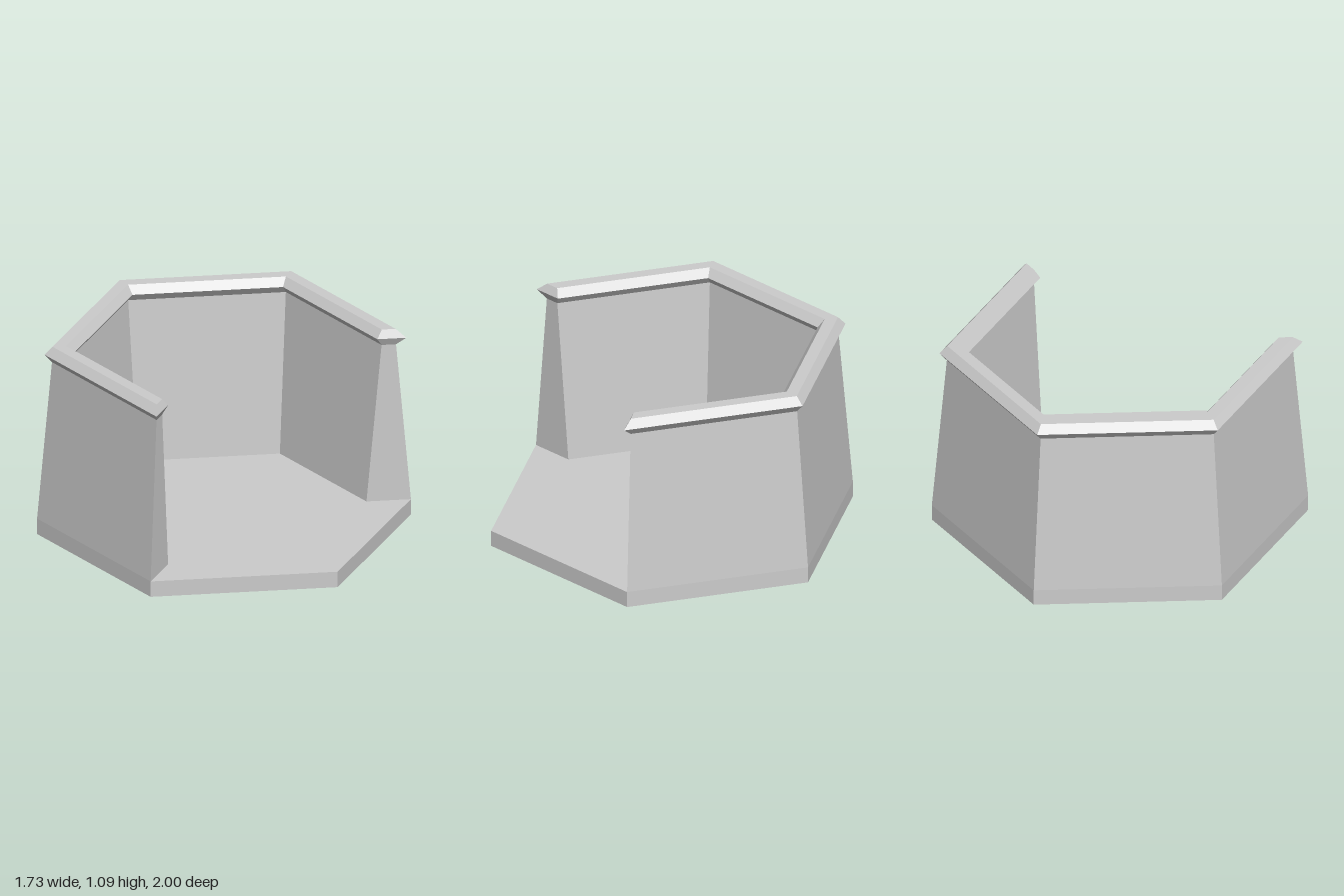
import * as THREE from 'three';

const FLOOR = 0.09, WALL_TOP = 1.0, RIM_MID = 1.045, RIM_TOP = 1.09;
const COS30 = Math.cos(Math.PI / 6);

// Corner k of a hexagon with the given apothem; 0 is front left, 2 the back, 5 the front
function corner(apothem, y, k, dz = 0) {
  const a = Math.PI / 6 - k * Math.PI / 3;
  const r = apothem / COS30;
  return [r * Math.cos(a), y, r * Math.sin(a) + dz];
}

// Flat-shaded mesh from convex or fan-shaped polygons
function polyMesh(name, polygons) {
  const positions = [];
  for (const p of polygons) {
    for (let i = 1; i < p.length - 1; i++) positions.push(...p[0], ...p[i], ...p[i + 1]);
  }
  const geometry = new THREE.BufferGeometry();
  geometry.setAttribute('position', new THREE.Float32BufferAttribute(positions, 3));
  geometry.computeVertexNormals();
  const material = new THREE.MeshStandardMaterial({
    color: 0xcccccc, flatShading: true, side: THREE.DoubleSide,
  });
  const mesh = new THREE.Mesh(geometry, material);
  mesh.name = name;
  return mesh;
}

// Sweeps a profile of [apothem, y, end overhang] round the sides from corner 0
function sweep(profile, sides) {
  const at = ([r, y, over = 0], k) => corner(r, y, k, k === 0 || k === 4 ? over : 0);
  const faces = [];
  for (let i = 0; i < profile.length - 1; i++) {
    for (let k = 0; k < sides; k++) {
      faces.push([at(profile[i], k), at(profile[i], k + 1), at(profile[i + 1], k + 1), at(profile[i + 1], k)]);
    }
  }
  return faces;
}

// Closes both front ends between matching outer and inner profile points
function endCaps(outer, inner) {
  const faces = [];
  for (const k of [0, 4]) {
    const at = ([r, y, over = 0]) => corner(r, y, k, over);
    for (let i = 0; i < outer.length - 1; i++) {
      const quad = [at(inner[i]), at(outer[i]), at(outer[i + 1]), at(inner[i + 1])];
      faces.push(k === 0 ? quad : quad.reverse());
    }
  }
  return faces;
}

export function createModel() {
  const group = new THREE.Group();
  group.name = 'hexagonalEnclosure';

  // Base skirt, open underneath
  group.add(polyMesh('baseSkirt', sweep([[COS30, 0], [COS30, FLOOR]], 6)));

  // Floor: full width at the front, stopping at the foot of the walls behind
  const floor = [corner(COS30, FLOOR, 5), corner(COS30, FLOOR, 0)];
  for (let k = 0; k <= 4; k++) floor.push(corner(0.66, FLOOR, k));
  floor.push(corner(COS30, FLOOR, 4));
  group.add(polyMesh('floor', [floor]));

  // Four hollow walls, tapering to the top
  const wallOuter = [[COS30, FLOOR], [0.797, WALL_TOP]];
  const wallInner = [[0.66, FLOOR], [0.73, WALL_TOP]];
  group.add(polyMesh('walls', [
    ...sweep(wallOuter, 4),
    ...sweep([...wallInner].reverse(), 4),
    ...endCaps(wallOuter, wallInner),
  ]));

  // Bevelled rim with pointed edges and ends
  const rimOuter = [[0.797, WALL_TOP], [0.831, RIM_MID, 0.026], [0.795, RIM_TOP]];
  const rimInner = [[0.73, WALL_TOP], [0.697, RIM_MID, 0.026], [0.731, RIM_TOP]];
  group.add(polyMesh('rim', [
    ...sweep([...rimOuter, ...[...rimInner].reverse()], 4),
    ...endCaps(rimOuter, rimInner),
  ]));

  return group;
}
